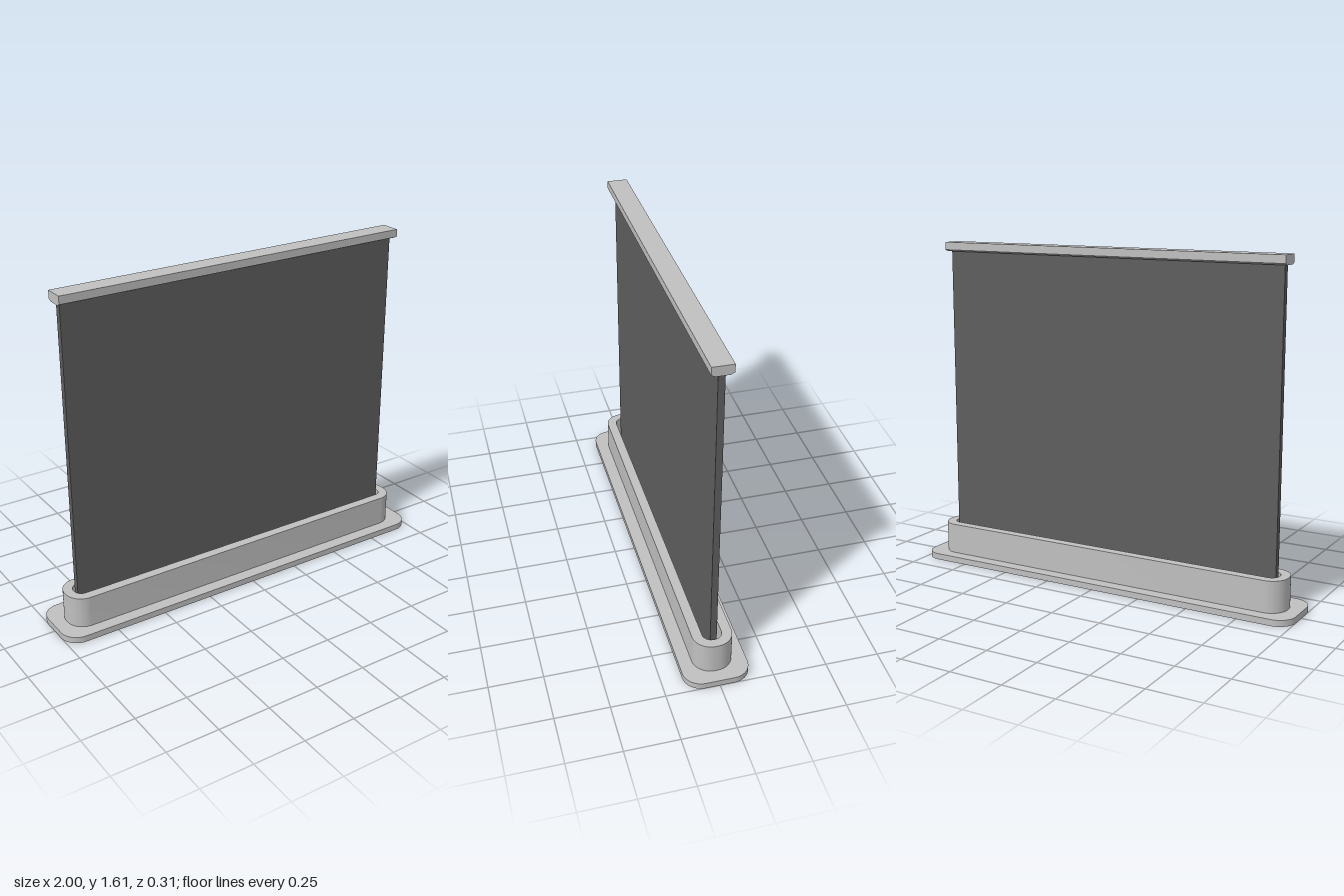
import * as THREE from 'three';
import { toCreasedNormals } from 'three/addons/utils/BufferGeometryUtils.js';

// Rounded rectangle outline, given half sizes and a corner radius
function roundedRect(path, hx, hz, r) {
  path.moveTo(hx - r, -hz);
  path.absarc(hx - r, -hz + r, r, -Math.PI / 2, 0);
  path.absarc(hx - r, hz - r, r, 0, Math.PI / 2);
  path.absarc(-hx + r, hz - r, r, Math.PI / 2, Math.PI);
  path.absarc(-hx + r, -hz + r, r, Math.PI, Math.PI * 1.5);
  path.closePath();
  return path;
}

// Extrudes a plan outline upward from y0 to y1
function extrudeUp(shape, y0, y1) {
  const geo = new THREE.ExtrudeGeometry(shape, { depth: y1 - y0, bevelEnabled: false, curveSegments: 12 });
  geo.rotateX(-Math.PI / 2).translate(0, y0, 0);
  return toCreasedNormals(geo, 0.6);
}

export function createModel() {
  const group = new THREE.Group();
  const lightGrey = new THREE.MeshStandardMaterial({ name: 'light grey', color: 0xc0c0c0 });
  const darkGrey = new THREE.MeshStandardMaterial({ name: 'dark grey', color: 0x5e5e60 });

  const add = (name, geometry, material) => {
    const mesh = new THREE.Mesh(geometry, material);
    mesh.name = name;
    group.add(mesh);
  };

  // Flat foot
  add('basePlate', extrudeUp(roundedRect(new THREE.Shape(), 1, 0.153, 0.085), 0, 0.03), lightGrey);

  // Hollow housing, open at the top around the screen
  const wall = roundedRect(new THREE.Shape(), 0.937, 0.092, 0.085);
  wall.holes.push(roundedRect(new THREE.Path(), 0.893, 0.045, 0.04));
  add('housing', extrudeUp(wall, 0.03, 0.18), lightGrey);

  // Screen panel, running down into the housing
  const panel = new THREE.BoxGeometry(1.76, 1.537, 0.03);
  panel.translate(0, 0.03 + 1.537 / 2, 0);
  add('screenPanel', panel, darkGrey);

  // Top rail with chamfered lower edges
  const profile = new THREE.Shape([
    [-0.03, 1.565], [0.03, 1.565], [0.048, 1.573], [0.048, 1.61], [-0.048, 1.61], [-0.048, 1.573],
  ].map(([z, y]) => new THREE.Vector2(z, y)));
  const rail = new THREE.ExtrudeGeometry(profile, { depth: 1.792, bevelEnabled: false });
  rail.translate(0, 0, -0.896).rotateY(Math.PI / 2);
  add('topRail', rail, lightGrey);

  return group;
}
